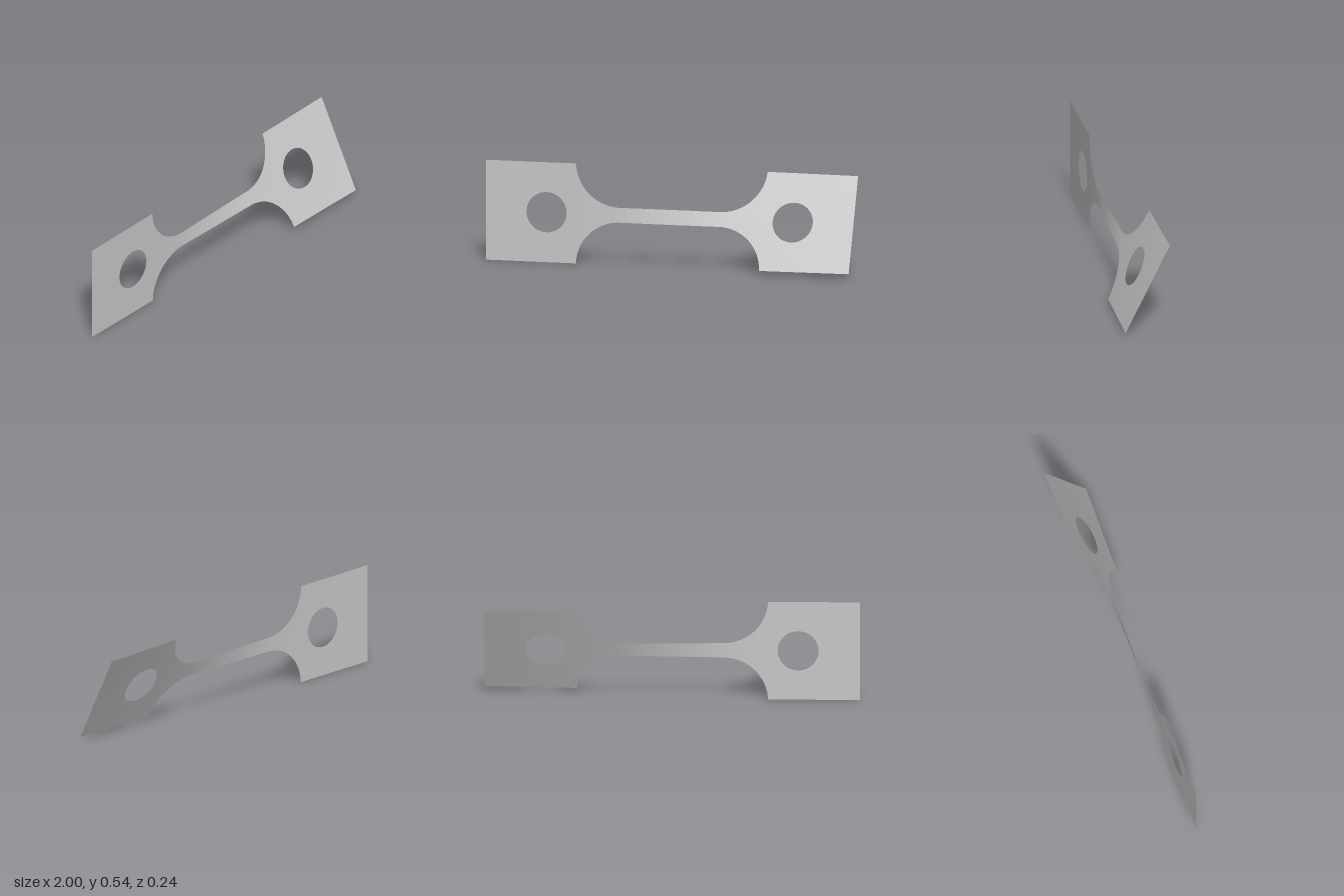
import * as THREE from 'three';
import { mergeVertices } from 'three/addons/utils/BufferGeometryUtils.js';

const HALF = 0.271, BAR = 0.04, FILLET = 0.24;      // half heights and fillet radius
const FILLET_X = 0.27, HOLE_X = 0.67, HOLE_R = 0.109;

// Twist angle in degrees along the length
const TWIST = [[-1, 0], [-0.5, 0.4], [-0.3, 2], [0.3, 22], [0.5, 24.2], [1, 26.4]];
function twistAt(x) {
  let i = 0;
  while (i < TWIST.length - 2 && x > TWIST[i + 1][0]) i++;
  const [x0, a0] = TWIST[i], [x1, a1] = TWIST[i + 1];
  return THREE.MathUtils.degToRad(a0 + (a1 - a0) * (x - x0) / (x1 - x0));
}

// Outline half height: wide head, round fillet, narrow bar
function outerAt(x) {
  const d = Math.abs(x) - FILLET_X;
  if (d <= 0) return BAR;
  if (d >= FILLET - 1e-6) return HALF;
  return Math.min(HALF, BAR + FILLET - Math.sqrt(FILLET * FILLET - d * d));
}

// Hole half height, zero away from the hole
function innerAt(x) {
  const d = Math.abs(x) - HOLE_X;
  return Math.sqrt(Math.max(0, HOLE_R * HOLE_R - d * d));
}

// Columns along x, packed closely where the curves turn steep
function columns() {
  const half = [];
  for (let i = 0; i <= 8; i++) half.push(FILLET_X * i / 8);
  for (let i = 1; i <= 24; i++) half.push(FILLET_X + FILLET * Math.sin(i / 24 * Math.PI / 2));
  half.push(0.535);
  for (let i = 0; i <= 32; i++) half.push(HOLE_X - HOLE_R * Math.cos(i / 32 * Math.PI));
  for (let i = 1; i <= 6; i++) half.push(HOLE_X + HOLE_R + (1 - HOLE_X - HOLE_R) * i / 6);
  return [...half.slice(1).reverse().map(x => -x), ...half];
}

function twistedSheet() {
  const xs = columns(), rows = 8, pos = [], index = [];
  // Lower and upper halves meet on the centre line, parting around the holes
  for (const side of [-1, 1]) {
    const base = pos.length / 3;
    xs.forEach((x, c) => {
      const a = twistAt(x), inner = innerAt(x), outer = outerAt(x);
      for (let r = 0; r <= rows; r++) {
        const t = side < 0 ? 1 - r / rows : r / rows;
        const v = side * (inner + (outer - inner) * t);
        pos.push(x, HALF + v * Math.cos(a), -v * Math.sin(a));
        if (c > 0 && r > 0) {
          const p = base + c * (rows + 1) + r, q = p - rows - 1;
          index.push(q - 1, p - 1, p, q - 1, p, q);
        }
      }
    });
  }
  const g = new THREE.BufferGeometry();
  g.setAttribute('position', new THREE.Float32BufferAttribute(pos, 3));
  g.setIndex(index);
  const merged = mergeVertices(g, 1e-5);
  merged.computeVertexNormals();
  return merged;
}

export function createModel() {
  const group = new THREE.Group();
  group.name = 'twistedSpecimen';
  const metal = new THREE.MeshStandardMaterial({ color: 0xc8c8c8, side: THREE.DoubleSide });
  metal.name = 'plain grey metal';
  const sheet = new THREE.Mesh(twistedSheet(), metal);
  sheet.name = 'twistedSheet';
  group.add(sheet);
  return group;
}
